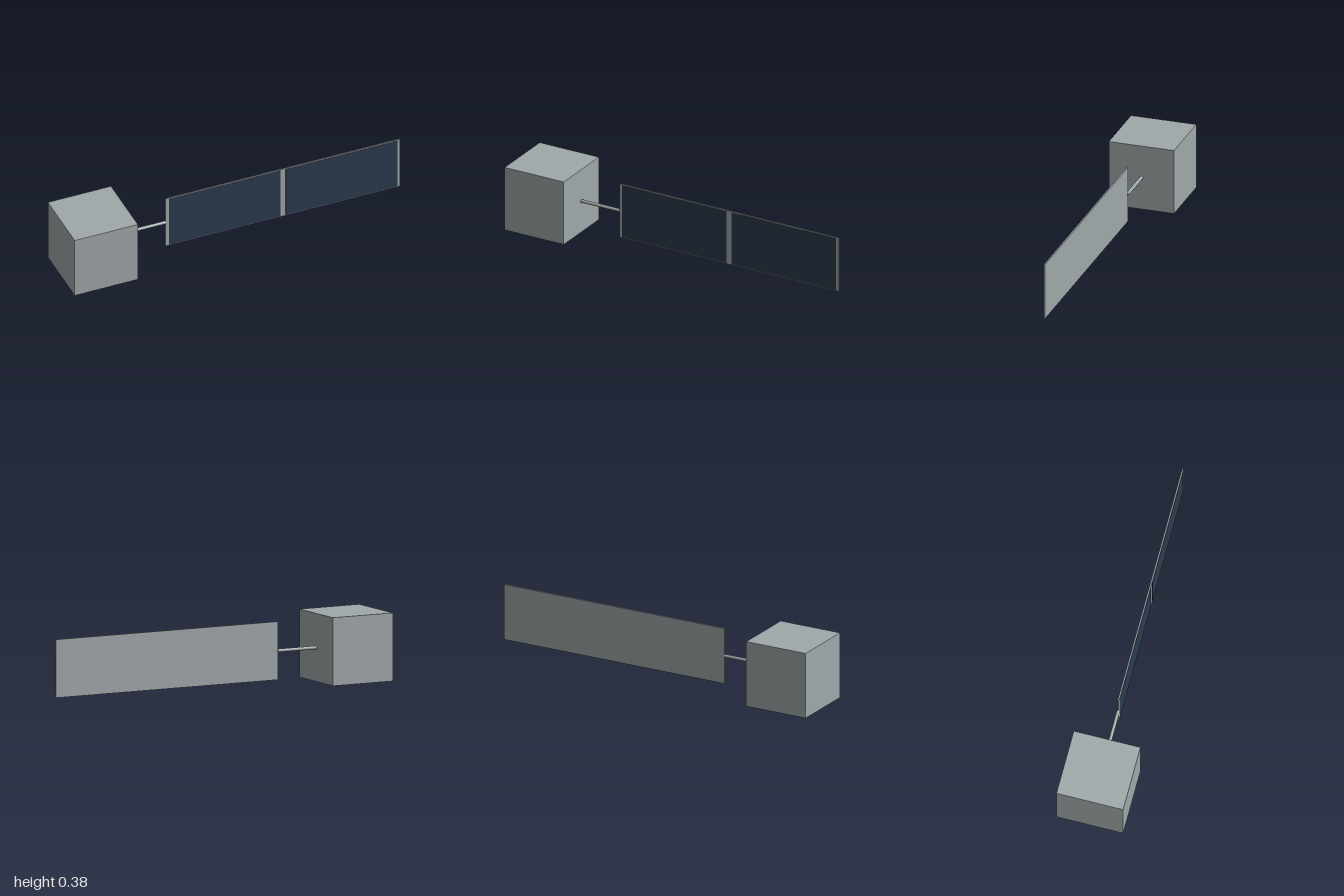
import * as THREE from 'three';

export function createModel() {
  const model = new THREE.Group();
  const metal = new THREE.MeshStandardMaterial({ color: 0xa0a8aa });
  metal.name = 'light grey metal';
  const navy = new THREE.MeshStandardMaterial({ color: 0x2c3b4e });
  navy.name = 'navy solar cell';

  const MID = 0.1875;

  // Box given by its x, y and z extents
  function addBox(name, material, [x0, x1], [y0, y1], [z0, z1]) {
    const mesh = new THREE.Mesh(new THREE.BoxGeometry(x1 - x0, y1 - y0, z1 - z0), material);
    mesh.position.set((x0 + x1) / 2, (y0 + y1) / 2, (z0 + z1) / 2);
    mesh.name = name;
    model.add(mesh);
  }

  // Cubic body
  addBox('body', metal, [-1, -0.627], [0, 0.375], [-0.1875, 0.1875]);

  // Round boom joining the body to the panel
  const boom = new THREE.Mesh(new THREE.CylinderGeometry(0.0095, 0.0095, 0.244, 16), metal);
  boom.rotation.z = Math.PI / 2;
  boom.position.set(-0.505, MID, 0);
  boom.name = 'boom';
  model.add(boom);

  // Thin backing panel with two dark cell plates on the front
  addBox('panelFrame', metal, [-0.385, 1], [0.028, 0.348], [-0.0045, 0.0035]);
  for (const [name, x0, x1] of [['innerCell', -0.366, 0.293], ['outerCell', 0.324, 0.983]]) {
    addBox(name, navy, [x0, x1], [0.033, 0.343], [0.003, 0.0045]);
  }

  return model;
}
